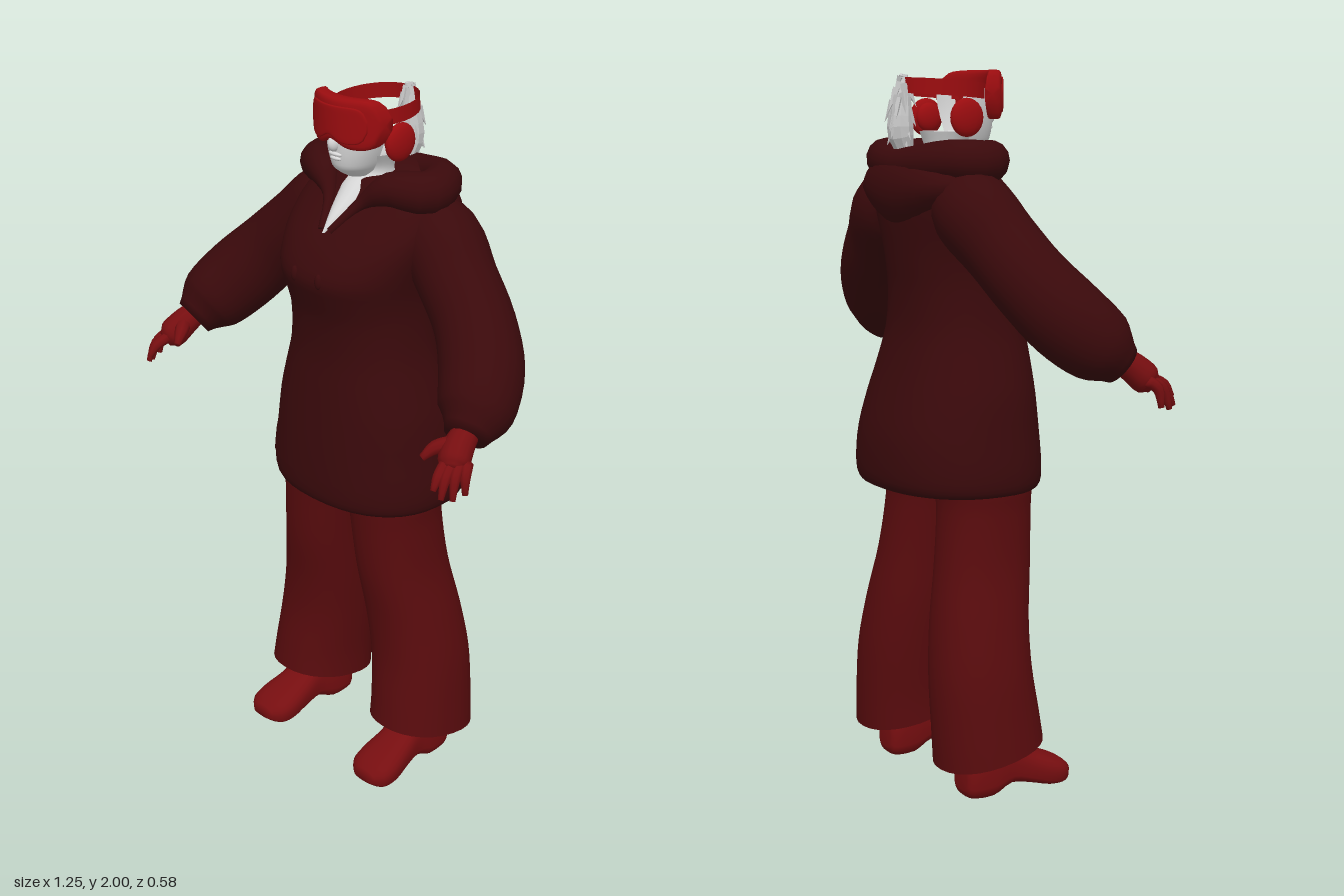
import * as THREE from 'three';

const V = (x, y, z) => new THREE.Vector3(x, y, z);
const TAU = Math.PI * 2;

export function createModel() {
  const model = new THREE.Group();
  const mat = (name, color, extra = {}) => {
    const m = new THREE.MeshStandardMaterial({ color, ...extra });
    m.name = name;
    return m;
  };
  const open = { side: THREE.DoubleSide };
  const maroon = mat('dark maroon', 0x3a090b);
  const wine = mat('wine red', 0x580b0d, open);
  const crimson = mat('crimson', 0x760e10);
  const red = mat('goggle red', 0x9a0c0f, open);
  const pale = mat('pale skin', 0xd8d8d8, open);
  const grey = mat('silver hair', 0xc8c8c8, { flatShading: true });

  const add = (name, geo, material, parent = model) => {
    const m = new THREE.Mesh(geo, material);
    m.name = name;
    parent.add(m);
    return m;
  };

  // Skin a list of equal-length rings; closed rings wrap, caps are fans
  function loft(rings, { closed = true, caps = true } = {}) {
    const n = rings[0].length, pos = [], idx = [];
    rings.forEach(r => r.forEach(p => pos.push(p.x, p.y, p.z)));
    for (let i = 0; i < rings.length - 1; i++)
      for (let j = 0; j < (closed ? n : n - 1); j++) {
        const a = i * n + j, b = i * n + (j + 1) % n;
        idx.push(a, b, a + n, b, b + n, a + n);
      }
    if (caps && closed) [0, rings.length - 1].forEach((r, end) => {
      const c = rings[r].reduce((s, p) => s.add(p), V(0, 0, 0)).divideScalar(n);
      const ci = pos.length / 3;
      pos.push(c.x, c.y, c.z);
      for (let j = 0; j < n; j++) {
        const a = r * n + j, b = r * n + (j + 1) % n;
        if (end) idx.push(ci, a, b);
        else idx.push(ci, b, a);
      }
    });
    const g = new THREE.BufferGeometry();
    g.setAttribute('position', new THREE.Float32BufferAttribute(pos, 3));
    g.setIndex(idx);
    g.computeVertexNormals();
    return g;
  }

  // Smooth interpolation through a table of equal-length rows, t from 0 to 1
  function sample(rows, t) {
    const f = t * (rows.length - 1), i = Math.min(Math.floor(f), rows.length - 2), w = f - i;
    const at = k => rows[Math.max(0, Math.min(rows.length - 1, k))];
    return rows[0].map((_, c) => {
      const [a, b, d, e] = [at(i - 1)[c], at(i)[c], at(i + 1)[c], at(i + 2)[c]];
      return b + 0.5 * w * (d - a + w * (2 * a - 5 * b + 4 * d - e + w * (3 * (b - d) + e - a)));
    });
  }
  const pw = (v, p) => Math.sign(v) * Math.abs(v) ** (2 / p);

  // Row: [y, centre x, half width, front z, back z, tilt]
  function point([y, cx, hx, zf, zb, tilt = 0], th, p, off = 0) {
    const dz = ((zf - zb) / 2 + off) * pw(Math.cos(th), p);
    return V(cx + (hx + off) * pw(Math.sin(th), p), y + tilt * dz, (zf + zb) / 2 + dz);
  }
  function upright(rows, steps, n, p, opts = {}) {
    const { from = 0, to = TAU, closed = true } = opts;
    return loft(Array.from({ length: steps + 1 }, (_, i) => {
      const row = sample(rows, i / steps);
      return Array.from({ length: n }, (_, j) =>
        point(row, from + (to - from) * j / (closed ? n : n - 1), p));
    }), opts);
  }

  // Tapered limb along a curve
  function limb(points, radii, steps = 16, n = 14) {
    const curve = new THREE.CatmullRomCurve3(points);
    const rr = radii.map(r => [r]);
    let u = null;
    return loft(Array.from({ length: steps + 1 }, (_, i) => {
      const t = i / steps, c = curve.getPoint(t), d = curve.getTangent(t), r = sample(rr, t)[0];
      u = u || (Math.abs(d.z) < 0.8 ? V(0, 0, 1) : V(0, 1, 0));
      u = u.clone().addScaledVector(d, -u.dot(d)).normalize();
      const v = d.clone().cross(u);
      return Array.from({ length: n }, (_, j) => c.clone()
        .addScaledVector(u, r * Math.cos(TAU * j / n)).addScaledVector(v, r * Math.sin(TAU * j / n)));
    }));
  }
  function ball(name, x, y, z, rx, ry, rz, material) {
    const m = add(name, new THREE.SphereGeometry(1, 16, 12), material);
    m.position.set(x, y, z);
    m.scale.set(rx, ry, rz);
  }

  // Hooded top: rolled hem, waist, chest and sloping shoulders
  const body = [
    [0.95, 0, 0.22, 0.11, -0.21], [0.866, 0, 0.262, 0.155, -0.25], [0.876, 0, 0.282, 0.178, -0.278],
    [0.93, 0, 0.286, 0.182, -0.285], [1.02, 0, 0.275, 0.177, -0.278], [1.12, 0, 0.26, 0.168, -0.25],
    [1.2, 0, 0.237, 0.16, -0.226], [1.3, 0, 0.208, 0.15, -0.203], [1.4, 0, 0.197, 0.157, -0.2],
    [1.47, 0, 0.2, 0.178, -0.207], [1.53, 0, 0.212, 0.192, -0.214], [1.6, 0, 0.23, 0.156, -0.222],
    [1.66, 0, 0.237, 0.1, -0.224], [1.72, 0, 0.215, 0.04, -0.215], [1.765, 0, 0.14, 0.01, -0.19],
    [1.775, 0, 0.07, -0.01, -0.14],
  ];
  add('hoodieBody', upright(body, 45, 40, 2.3), maroon);

  // Front pocket, a thin panel with slanted sides
  add('frontPocket', loft(Array.from({ length: 9 }, (_, i) => {
    const w = 0.72 - 0.32 * Math.max(0, (i - 2) / 6), row = sample(body, (3.1 + 2.9 * i / 8) / 15);
    return Array.from({ length: 17 }, (_, j) => point(row, w * (j / 8 - 1), 2.3, 0.004));
  }), { closed: false }), maroon);

  // Hood: rolled rim around the neck and a draped bag behind
  const half = [[0.015, 1.645, 0.115], [0.06, 1.715, 0.045], [0.125, 1.76, 0.005], [0.2, 1.755, -0.06], [0.165, 1.76, -0.15]];
  const rim = [...half.map(p => V(...p)), V(0, 1.745, -0.195), ...half.map(p => V(-p[0], p[1], p[2])).reverse()];
  const rimR = [0.01, 0.018, 0.046, 0.058, 0.055];
  add('hoodRim', limb(rim, [...rimR, 0.048, ...[...rimR].reverse()], 40, 14), maroon);
  const bag = new THREE.SphereGeometry(1, 28, 16);
  const bp = bag.attributes.position;
  for (let i = 0; i < bp.count; i++) {
    const y = bp.getY(i);
    bp.setXYZ(i, bp.getX(i) * 0.22 * (1 + Math.min(0, y) * 0.45), 1.68 + y * 0.115, -0.15 + bp.getZ(i) * 0.112);
  }
  bag.computeVertexNormals();
  add('hoodBag', bag, maroon);

  // Neck, running down as a wedge into the open collar and flaring at the open top
  add('neck', upright([
    [1.64, 0, 0.004, 0.128, 0.09], [1.69, 0, 0.036, 0.088, -0.03], [1.745, 0, 0.06, 0.036, -0.12],
    [1.79, 0, 0.058, 0.0, -0.115], [1.835, 0, 0.078, 0.03, -0.128],
  ], 16, 20, 2, { caps: false }), pale);

  // Face: a shell open at the top and back
  add('face', upright([
    [1.775, 0, 0.03, 0.03, -0.06], [1.8, 0, 0.05, 0.068, -0.07], [1.825, 0, 0.062, 0.078, -0.08],
    [1.86, 0, 0.074, 0.082, -0.09], [1.9, 0, 0.083, 0.082, -0.1], [1.95, 0, 0.088, 0.075, -0.1],
  ], 15, 23, 2.1, { from: -1.8, to: 1.8, closed: false }), pale);
  ball('nose', 0, 1.875, 0.083, 0.014, 0.022, 0.02, pale);
  ball('upperLip', 0, 1.846, 0.079, 0.024, 0.006, 0.009, pale);
  ball('lowerLip', 0, 1.834, 0.077, 0.02, 0.006, 0.009, pale);
  ball('mouthInside', 0, 1.845, 0.02, 0.043, 0.022, 0.04, pale);

  // Goggles: curved mask with a nose notch, raised lens and thin strap
  function mask(w, top, bottom, front, back) {
    return loft(Array.from({ length: 25 }, (_, i) => {
      const s = i / 12 - 1, e = Math.sqrt(Math.max(0.1, 1 - Math.abs(s) ** 9));
      const x = w * s, bend = 4 * x * x, mid = (top + bottom) / 2;
      const lo = mid - (mid - bottom) * e + 0.02 * Math.exp(-((s / 0.28) ** 2));
      const hi = mid + (top - mid) * e;
      return Array.from({ length: 20 }, (_, j) => {
        const a = TAU * j / 20;
        return V(x, (hi + lo) / 2 + (hi - lo) / 2 * pw(Math.cos(a), 5),
          (front + back) / 2 - bend + (front - back) / 2 * pw(Math.sin(a), 5));
      });
    }));
  }
  add('goggleFrame', mask(0.122, 2.0, 1.866, 0.1, 0.05), red);
  add('goggleLens', mask(0.1, 1.982, 1.884, 0.105, 0.096), red);
  const strap = add('goggleStrap', new THREE.CylinderGeometry(1, 1, 0.042, 32, 1, true), red);
  strap.scale.set(0.108, 1, 0.128);
  strap.position.set(0, 1.948, -0.065);
  strap.rotation.x = 0.07;

  // Hair tail hanging from the strap, with seeded tufts
  const tail = new THREE.CatmullRomCurve3([V(0, 1.985, -0.185), V(0, 1.92, -0.195), V(0, 1.83, -0.2), V(0, 1.745, -0.17)]);
  add('hairTail', limb(tail.points, [0.008, 0.025, 0.036, 0.012], 10, 9), grey);
  const tuftShape = new THREE.ConeGeometry(0.013, 0.06, 4);
  let seed = 7;
  const rand = () => (seed = (seed * 16807) % 2147483647) / 2147483647;
  for (let i = 0; i < 28; i++) {
    const t = 0.15 + 0.72 * i / 28, a = TAU * rand();
    const r = 0.032 * Math.sin(Math.PI * t);
    const tuft = add('hairTuft', tuftShape, grey);
    tuft.position.copy(tail.getPoint(t)).add(V(Math.cos(a) * r, 0, Math.sin(a) * r));
    tuft.quaternion.setFromUnitVectors(V(0, 1, 0), V(Math.cos(a) * 0.4, -0.9, Math.sin(a) * 0.4).normalize());
  }

  // Paired parts: the left is on +x
  for (const s of [1, -1]) {
    const side = s > 0 ? 'left' : 'right';
    const P = (x, y, z) => V(x * s, y, z);

    ball(side + 'Eye', s * 0.036, 1.92, 0.045, 0.02, 0.02, 0.02, pale);
    ball(side + 'EarCup', s * 0.104, 1.872, -0.055, 0.02, 0.052, 0.052, red);
    ball(side + 'EarPad', s * 0.09, 1.872, -0.055, 0.018, 0.04, 0.04, red);

    // Drawstring end on the chest
    ball(side + 'DrawstringEnd', s * 0.046, 1.53, 0.185, 0.012, 0.022, 0.01, maroon);

    // Full sleeve gathered at the cuff
    add(side + 'Sleeve', limb([P(0.13, 1.655, -0.1), P(0.21, 1.62, -0.1), P(0.3, 1.54, -0.075), P(0.395, 1.45, -0.045),
      P(0.475, 1.36, 0.012), P(0.525, 1.287, 0.085), P(0.543, 1.24, 0.14)],
      [0.09, 0.113, 0.108, 0.108, 0.112, 0.1, 0.058], 24, 20), maroon);

    // Gloved hand
    const hand = new THREE.Group();
    hand.name = side + 'Hand';
    model.add(hand);
    add('palm', limb([P(0.54, 1.26, 0.12), P(0.55, 1.235, 0.165), P(0.565, 1.2, 0.205), P(0.575, 1.185, 0.222)],
      [0.034, 0.04, 0.042, 0.025], 10, 12), crimson, hand);
    const tips = [[0.572, 1.15, 0.285], [0.59, 1.128, 0.275], [0.607, 1.122, 0.25], [0.617, 1.13, 0.215]];
    tips.forEach(([x, y, z], i) => {
      const bx = 0.556 + i * 0.013, bz = 0.225 - i * 0.013;
      add('finger', limb([P(bx, 1.2, bz), P((bx + x) / 2 + 0.004, 1.18, (bz + z) / 2 + 0.008), P(x, y, z)],
        [0.016, 0.015, 0.008], 6, 8), crimson, hand);
    });
    add('thumb', limb([P(0.54, 1.235, 0.18), P(0.51, 1.225, 0.215), P(0.493, 1.2, 0.245)],
      [0.022, 0.019, 0.01], 6, 8), crimson, hand);

    // Flared trouser leg, hem slanting down to the back
    add(side + 'TrouserLeg', upright([
      [0.135, s * 0.215, 0.135, 0.1, -0.212, 0.2], [0.22, s * 0.21, 0.132, 0.09, -0.215, 0.15],
      [0.36, s * 0.195, 0.132, 0.075, -0.214, 0.05], [0.5, s * 0.173, 0.126, 0.08, -0.198, 0],
      [0.65, s * 0.151, 0.116, 0.102, -0.172, 0], [0.8, s * 0.137, 0.12, 0.11, -0.153, 0],
      [0.88, s * 0.13, 0.13, 0.112, -0.155, 0], [0.98, s * 0.12, 0.12, 0.1, -0.16, 0],
    ], 28, 28, 2.2, { caps: false }), wine);

    // Shoe, sections from heel to toe: [z, half width, sole y, top y]
    const shoe = [[-0.142, 0.03, 0.03, 0.1], [-0.125, 0.052, 0.005, 0.15], [-0.06, 0.06, 0, 0.19], [0, 0.057, 0.028, 0.165],
      [0.06, 0.064, 0.02, 0.124], [0.12, 0.073, 0.006, 0.098], [0.165, 0.066, 0.008, 0.078], [0.192, 0.035, 0.025, 0.056]];
    add(side + 'Shoe', loft(Array.from({ length: 22 }, (_, i) => {
      const [z, w, lo, hi] = sample(shoe, i / 21);
      return Array.from({ length: 20 }, (_, j) => {
        const a = TAU * j / 20, y = Math.sin(a);
        return V(s * (0.215 + 0.05 * z) + w * pw(Math.cos(a), 2.6), (hi + lo) / 2 + (hi - lo) / 2 * pw(y, y < 0 ? 4 : 2.2), z);
      });
    })), crimson);
  }
  return model;
}
